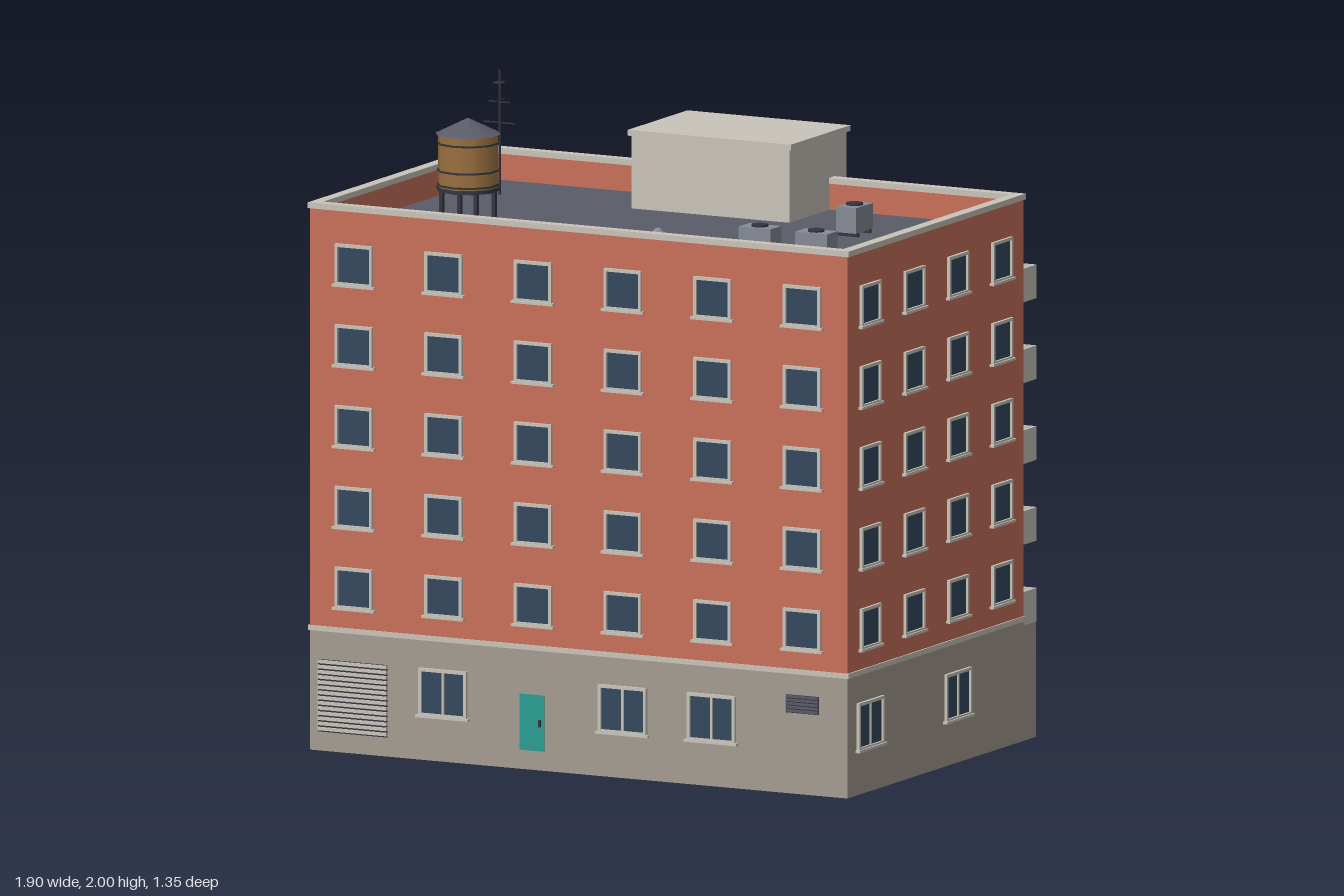
import * as THREE from 'three';

const mat = (name, color, side = THREE.FrontSide) => {
  const m = new THREE.MeshStandardMaterial({ color, side });
  m.name = name;
  return m;
};
const M = {
  brick: mat('brick', 0xc9705a),
  stone: mat('stone', 0xa49c90),
  concrete: mat('concrete', 0xc9c4ba),
  roof: mat('slate', 0x595b68, THREE.DoubleSide),
  glass: mat('glass', 0x33485c),
  teal: mat('teal', 0x2a9d92),
  wood: mat('wood', 0x9a7040),
  green: mat('leaves', 0x5a9150),
  metal: mat('metal', 0x858c95),
  dark: mat('dark iron', 0x34363f),
};

const HX = 0.935, ZF = 0.66, ZB = -0.5, ZG = -0.583; // half width, front, upper back, ground back
const FLOOR = 0.2525, BASE = 0.385, DECK = 1.61;

function add(parent, name, geo, material, x = 0, y = 0, z = 0) {
  const m = new THREE.Mesh(geo, material);
  m.name = name;
  m.position.set(x, y, z);
  parent.add(m);
  return m;
}
const box = (p, name, material, w, h, d, x, y, z) =>
  add(p, name, new THREE.BoxGeometry(w, h, d), material, x, y, z);
const cyl = (p, name, material, r0, r1, h, n, x, y, z) =>
  add(p, name, new THREE.CylinderGeometry(r0, r1, h, n).toNonIndexed(), material, x, y, z);

function group(parent, name, x = 0, y = 0, z = 0, ry = 0) {
  const g = new THREE.Group();
  g.name = name;
  g.position.set(x, y, z);
  g.rotation.y = ry;
  parent.add(g);
  return g;
}

// Rectangular wall ring, open at top and bottom in the middle
function ring(p, name, material, hx, zb, zf, t, y0, y1) {
  const rect = (C, i) => {
    const s = new C();
    s.moveTo(-hx + i, -zf + i);
    s.lineTo(hx - i, -zf + i);
    s.lineTo(hx - i, -zb - i);
    s.lineTo(-hx + i, -zb - i);
    s.closePath();
    return s;
  };
  const shape = rect(THREE.Shape, 0);
  shape.holes.push(rect(THREE.Path, t));
  const geo = new THREE.ExtrudeGeometry(shape, { depth: y1 - y0, bevelEnabled: false });
  geo.rotateX(-Math.PI / 2);
  return add(p, name, geo, material, 0, y0, 0);
}

// Framed window on a wall face (local z points outwards)
function windowUnit(face, x, y, w, h, { mullion = false, cross = false, sill = true } = {}) {
  const g = group(face, 'window', x, y, 0), f = 0.01;
  box(g, 'glass', M.glass, w - f, h - f, 0.026, 0, 0, -0.01);
  for (const s of [-1, 1]) {
    box(g, 'frameSide', M.concrete, f, h, 0.012, s * (w - f) / 2, 0, 0.004);
    box(g, 'frameRail', M.concrete, w, f, 0.012, 0, s * (h - f) / 2, 0.004);
  }
  if (mullion || cross) box(g, 'mullion', M.concrete, 0.008, h - f, 0.006, 0, 0, 0.004);
  if (cross) box(g, 'crossbar', M.concrete, w - f, 0.008, 0.006, 0, 0, 0.004);
  if (sill) box(g, 'sill', M.concrete, w + 0.016, 0.008, 0.018, 0, -h / 2, 0.006);
}

function slats(face, name, x, y, w, h, n, bar) {
  const g = group(face, name, x, y, 0);
  box(g, 'backing', M.dark, w, h, 0.026, 0, 0, -0.009);
  for (let i = 0; i < n; i++)
    box(g, 'slat', bar, w, h / n * 0.65, 0.008, 0, -h / 2 + (i + 0.6) * h / n, 0.005);
}

function buildWalls(root) {
  ring(root, 'groundFloorWalls', M.stone, HX, ZG, ZF, 0.012, 0, BASE);
  ring(root, 'brickWalls', M.brick, HX, ZB, ZF, 0.012, BASE - 0.005, DECK);
  ring(root, 'parapet', M.brick, HX, ZB, ZF, 0.028, DECK, 1.695);
  ring(root, 'parapetCap', M.concrete, HX + 0.006, ZB - 0.006, ZF + 0.004, 0.036, 1.692, 1.71);
  ring(root, 'stringCourse', M.concrete, HX + 0.005, ZB - 0.004, ZF + 0.004, 0.014, 0.374, 0.39);
  box(root, 'roofDeck', M.roof, 2 * HX - 0.04, 0.01, ZF - ZB - 0.04, 0, DECK - 0.005, (ZF + ZB) / 2);
}

function buildFaces(root) {
  const row = (i) => 0.515 + FLOOR * i;
  // Front
  const front = group(root, 'frontFace', 0, 0, ZF);
  for (let i = 0; i < 5; i++)
    for (let c = -2.5; c <= 2.5; c++) windowUnit(front, c * 0.312, row(i), 0.13, 0.13);
  for (const x of [-0.47, 0.155, 0.464]) windowUnit(front, x, 0.213, 0.167, 0.15, { mullion: true });
  slats(front, 'garageShutter', -0.785, 0.173, 0.24, 0.226, 14, M.concrete);
  slats(front, 'ventGrille', 0.78, 0.281, 0.112, 0.056, 5, M.roof);
  box(front, 'serviceDoor', M.teal, 0.084, 0.175, 0.028, -0.161, 0.148, -0.009);
  box(front, 'doorHandle', M.dark, 0.006, 0.022, 0.008, -0.132, 0.148, 0.008);
  // Sides
  for (const s of [1, -1]) {
    const side = group(root, s > 0 ? 'leftFace' : 'rightFace', s * HX, 0, 0.082, s * Math.PI / 2);
    for (let c = 0; c < 4; c++) {
      const x = (c - 1.5) * 0.289;
      for (let i = 0; i < 5; i++) windowUnit(side, x, row(i), 0.13, 0.13);
      if (c % 2 === 0) windowUnit(side, x, 0.213, 0.167, 0.15, { mullion: true });
    }
  }
  // Back
  const back = group(root, 'backFace', 0, 0, ZB, Math.PI);
  const ground = group(root, 'groundBackFace', 0, 0, ZG, Math.PI);
  for (const x of [-0.768, -0.44, 0.44, 0.768]) {
    for (let i = 0; i < 5; i++)
      windowUnit(back, x, BASE + 0.105 + FLOOR * i, 0.167, 0.2, { mullion: true, sill: false });
    windowUnit(ground, x, 0.213, 0.167, 0.15, { mullion: true });
    box(ground, 'planterBox', M.wood, 0.152, 0.024, 0.022, x, 0.118, 0.012);
    box(ground, 'planterLeaves', M.green, 0.146, 0.018, 0.02, x, 0.138, 0.012);
  }
}

function buildBalconies(root) {
  const w = HX - 0.275, d = ZB - ZG;
  for (let i = 0; i < 5; i++)
    for (const s of [-1, 1]) {
      const g = group(root, 'balcony', s * (0.275 + w / 2), BASE + FLOOR * i, 0);
      box(g, 'slab', M.stone, w - 0.002, 0.022, d - 0.002, 0, -0.012, (ZB + ZG) / 2);
      box(g, 'frontRail', M.concrete, w, 0.105, 0.008, 0, 0.028, ZG + 0.001);
      box(g, 'endRail', M.concrete, 0.008, 0.105, d, s * (w / 2 - 0.003), 0.028, (ZB + ZG) / 2);
    }
}

function buildTower(root) {
  const t = group(root, 'stairTower');
  const zf = ZG - 0.003;
  box(t, 'shaft', M.concrete, 0.55, 1.84, ZB - zf + 0.012, 0, 0.92, (ZB + 0.012 + zf) / 2);
  box(t, 'roofHouse', M.concrete, 0.55, 1.84 - DECK, -0.21 - zf, 0, (1.84 + DECK) / 2, (zf - 0.21) / 2);
  box(t, 'towerCap', M.concrete, 0.568, 0.018, 0.394, 0, 1.847, -0.398);
  const face = group(t, 'towerFace', 0, 0, zf, Math.PI);
  for (let i = 0; i < 5; i++)
    windowUnit(face, 0, 0.545 + FLOOR * i, 0.16, 0.155, { cross: true });
  // Entrance
  const door = group(face, 'entranceDoor', 0, 0.15, 0);
  box(door, 'doorFrame', M.teal, 0.13, 0.19, 0.012, 0, 0, 0.002);
  for (const s of [-1, 1]) {
    box(door, 'doorGlass', M.glass, 0.042, 0.13, 0.004, s * 0.029, 0.015, 0.008);
    box(door, 'doorPull', M.dark, 0.004, 0.03, 0.008, s * 0.005, -0.01, 0.011);
  }
  // Striped awning
  const awning = group(face, 'awning', 0, 0.306, 0.043);
  awning.rotation.x = 0.45;
  for (let i = -2; i <= 2; i++)
    box(awning, 'awningStripe', i % 2 ? M.concrete : M.teal, 0.06, 0.008, 0.092, i * 0.06, 0, 0);
}

function buildRoofItems(root) {
  // Water tank
  const tank = group(root, 'waterTank', -0.592, 0, 0.268);
  cyl(tank, 'tankBody', M.wood, 0.094, 0.094, 0.17, 10, 0, 1.81, 0);
  for (const y of [1.735, 1.78, 1.865]) cyl(tank, 'tankHoop', M.dark, 0.097, 0.097, 0.006, 10, 0, y, 0);
  cyl(tank, 'tankPlatform', M.dark, 0.098, 0.098, 0.012, 10, 0, 1.722, 0);
  cyl(tank, 'tankRoof', M.roof, 0.004, 0.102, 0.048, 10, 0, 1.916, 0);
  for (const sx of [-1, 1])
    for (const sz of [-1, 1])
      box(tank, 'tankLeg', M.dark, 0.012, 0.11, 0.012, sx * 0.06, 1.663, sz * 0.06);
  // Aerial
  const mast = group(root, 'aerial', -0.75, 0, -0.24);
  cyl(mast, 'mast', M.dark, 0.004, 0.004, 2 - DECK, 6, 0, (2 + DECK) / 2, 0);
  box(mast, 'lowerBar', M.dark, 0.11, 0.004, 0.004, 0, 1.835, 0);
  box(mast, 'middleBar', M.dark, 0.075, 0.004, 0.004, 0, 1.9, 0);
  box(mast, 'crossBar', M.dark, 0.004, 0.004, 0.07, 0, 1.905, 0);
  box(mast, 'upperBar', M.dark, 0.03, 0.004, 0.03, 0, 1.96, 0);
  // Air conditioners
  for (const [x, z, r] of [[0.467, 0.35, 0], [0.663, 0.35, 0], [0.546, -0.125, Math.PI / 2]]) {
    const ac = group(root, 'airConditioner', x, DECK, z, r);
    box(ac, 'casing', M.metal, 0.112, 0.08, 0.07, 0, 0.052, 0);
    cyl(ac, 'fan', M.dark, 0.026, 0.026, 0.008, 12, 0, 0.095, 0);
    for (const s of [-1, 1]) box(ac, 'foot', M.dark, 0.012, 0.012, 0.07, s * 0.04, 0.006, 0);
  }
  // Vent pipe
  cyl(root, 'ventPipe', M.metal, 0.012, 0.012, 0.06, 8, 0.152, DECK + 0.03, 0.425);
  cyl(root, 'ventCap', M.metal, 0.008, 0.024, 0.016, 8, 0.152, DECK + 0.064, 0.425);
}

export function createModel() {
  const root = new THREE.Group();
  root.name = 'apartmentBuilding';
  buildWalls(root);
  buildFaces(root);
  buildBalconies(root);
  buildTower(root);
  buildRoofItems(root);
  return root;
}
